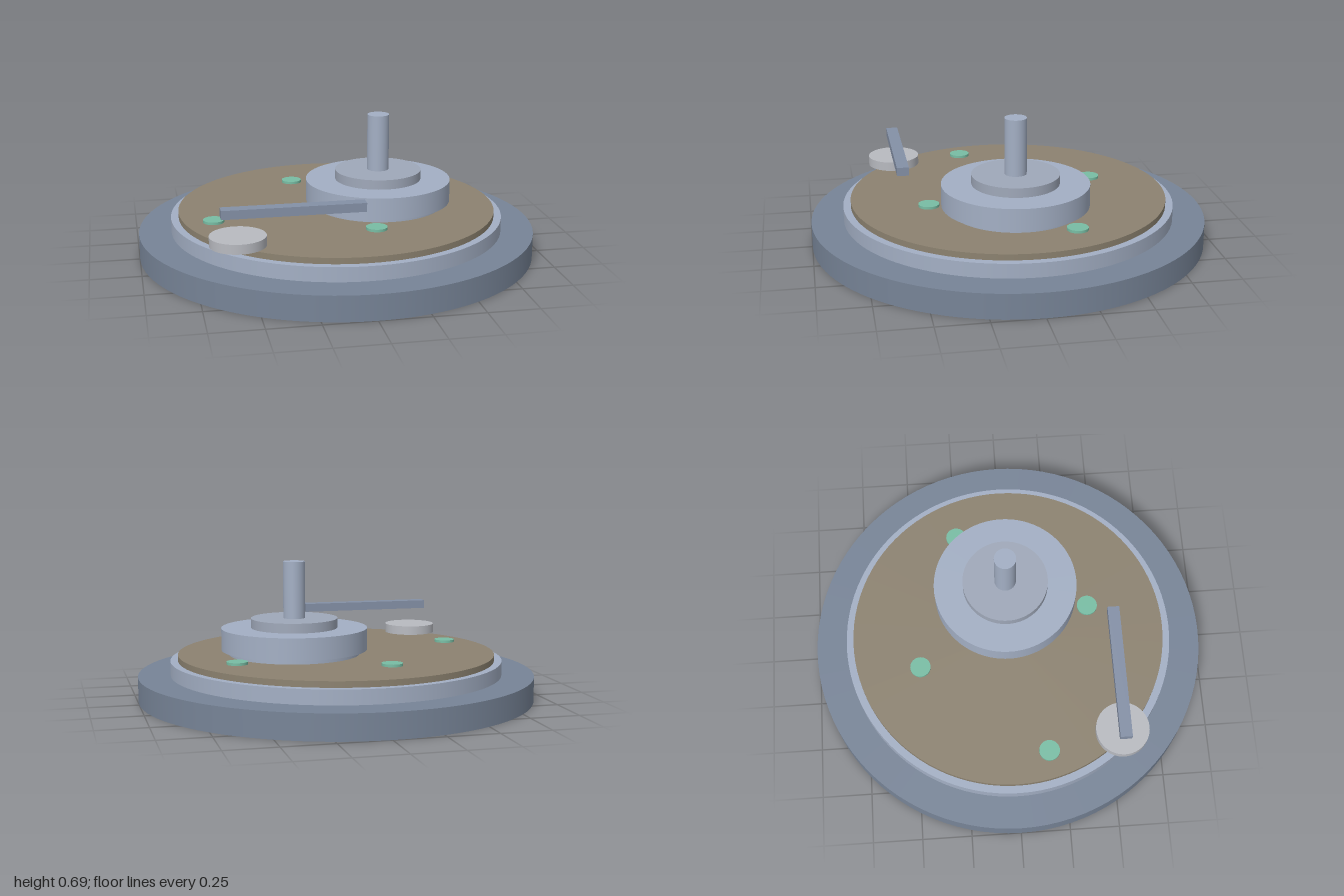
import * as THREE from 'three';

export function createModel() {
  const model = new THREE.Group();
  const paint = (color) => new THREE.MeshStandardMaterial({ color });
  const slate = paint(0x778497), steel = paint(0xa3afc4), brown = paint(0x8c8270);
  const silver = paint(0xb8bac0), green = paint(0x78bda4), armBlue = paint(0x8490a6);

  // upright disc from y0 to y1
  function disc(name, material, radius, y0, y1, x = 0, z = 0, sides = 96) {
    const mesh = new THREE.Mesh(new THREE.CylinderGeometry(radius, radius, y1 - y0, sides), material);
    mesh.name = name;
    mesh.position.set(x, (y0 + y1) / 2, z);
    model.add(mesh);
  }

  // stepped base
  disc('base', slate, 1, 0, 0.125);
  disc('rim', steel, 0.838, 0.125, 0.197);
  disc('plate', brown, 0.8, 0.197, 0.227);

  // off-centre hub with shaft
  const hubX = 0.217;
  disc('hubFoot', steel, 0.33, 0.227, 0.25, hubX);
  disc('hub', steel, 0.367, 0.25, 0.36, hubX);
  disc('hubCap', silver.clone(), 0.218, 0.36, 0.408, hubX);
  model.getObjectByName('hubCap').material.color.set(0x9fa8b9);
  disc('shaft', steel, 0.055, 0.408, 0.693, hubX, 0, 48);

  // green studs on the plate
  [[-0.16, -0.46], [0.55, -0.24], [-0.64, 0.165], [0.12, 0.42]].forEach(([x, z], i) =>
    disc(`stud${i + 1}`, green, 0.052, 0.227, 0.24, x, z, 32));

  // knob at the edge, with the arm above it
  disc('knob', silver, 0.134, 0.23, 0.277, -0.562, 0.537, 48);
  const arm = new THREE.Mesh(new THREE.BoxGeometry(0.68, 0.043, 0.06), armBlue);
  arm.name = 'arm';
  arm.position.set(-0.3, 0.386, 0.537);
  model.add(arm);

  return model;
}
